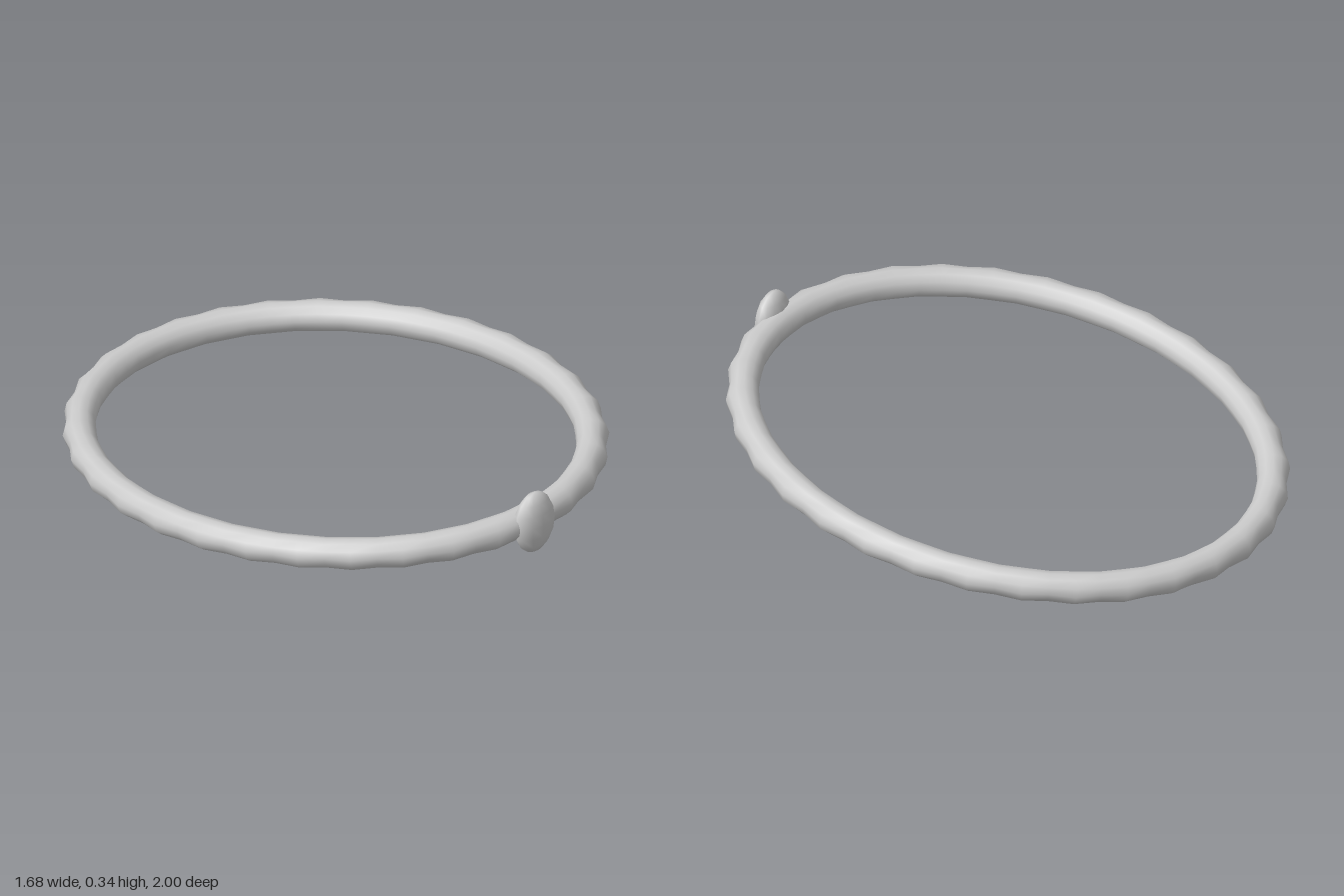
import * as THREE from 'three';
import { mergeVertices } from 'three/addons/utils/BufferGeometryUtils.js';

const BUMPS = 32;
const SIDES = 12;

// Closed tube along a tilted ellipse, scalloped on its outer side
function ringGeometry() {
  const geometry = new THREE.TorusGeometry(1, 0.1, SIDES, BUMPS * 2);
  const pos = geometry.attributes.position;
  const columns = BUMPS * 2 + 1;
  const rx = 0.78, rz = 0.934, slope = 0.0935;
  const up = new THREE.Vector3(0, 1, -slope).normalize();
  for (let i = 0; i < pos.count; i++) {
    const column = i % columns;
    const t = ((column % (BUMPS * 2)) / (BUMPS * 2)) * Math.PI * 2;
    const a = ((Math.floor(i / columns) % SIDES) / SIDES) * Math.PI * 2;
    // angle runs from +x through the back so that faces point outwards
    const x = Math.cos(t), z = -Math.sin(t);
    const centre = new THREE.Vector3(rx * x, 0.144 + slope * rz * z, rz * z - 0.009);
    const out = new THREE.Vector3(x / rx, slope * z / rz, z / rz).normalize();
    const bump = column % 2 === 0 ? 0.007 : -0.006;
    const r = 0.053 + bump * Math.max(0.15, Math.cos(a));
    centre.addScaledVector(out, r * Math.cos(a)).addScaledVector(up, r * Math.sin(a));
    pos.setXYZ(i, centre.x, centre.y, centre.z);
  }
  geometry.deleteAttribute('uv');
  geometry.deleteAttribute('normal');
  const welded = mergeVertices(geometry, 1e-5);
  welded.computeVertexNormals();
  return welded;
}

export function createModel() {
  const group = new THREE.Group();
  const material = new THREE.MeshStandardMaterial({ color: 0xcccccc });

  const band = new THREE.Mesh(ringGeometry(), material);
  band.name = 'band';
  group.add(band);

  // Flattened oval stone standing on the front of the band
  const stone = new THREE.Mesh(new THREE.SphereGeometry(1, 12, 8), material);
  stone.name = 'frontStone';
  stone.scale.set(0.085, 0.114, 0.046);
  stone.position.set(0, 0.232, 0.954);
  group.add(stone);

  return group;
}
